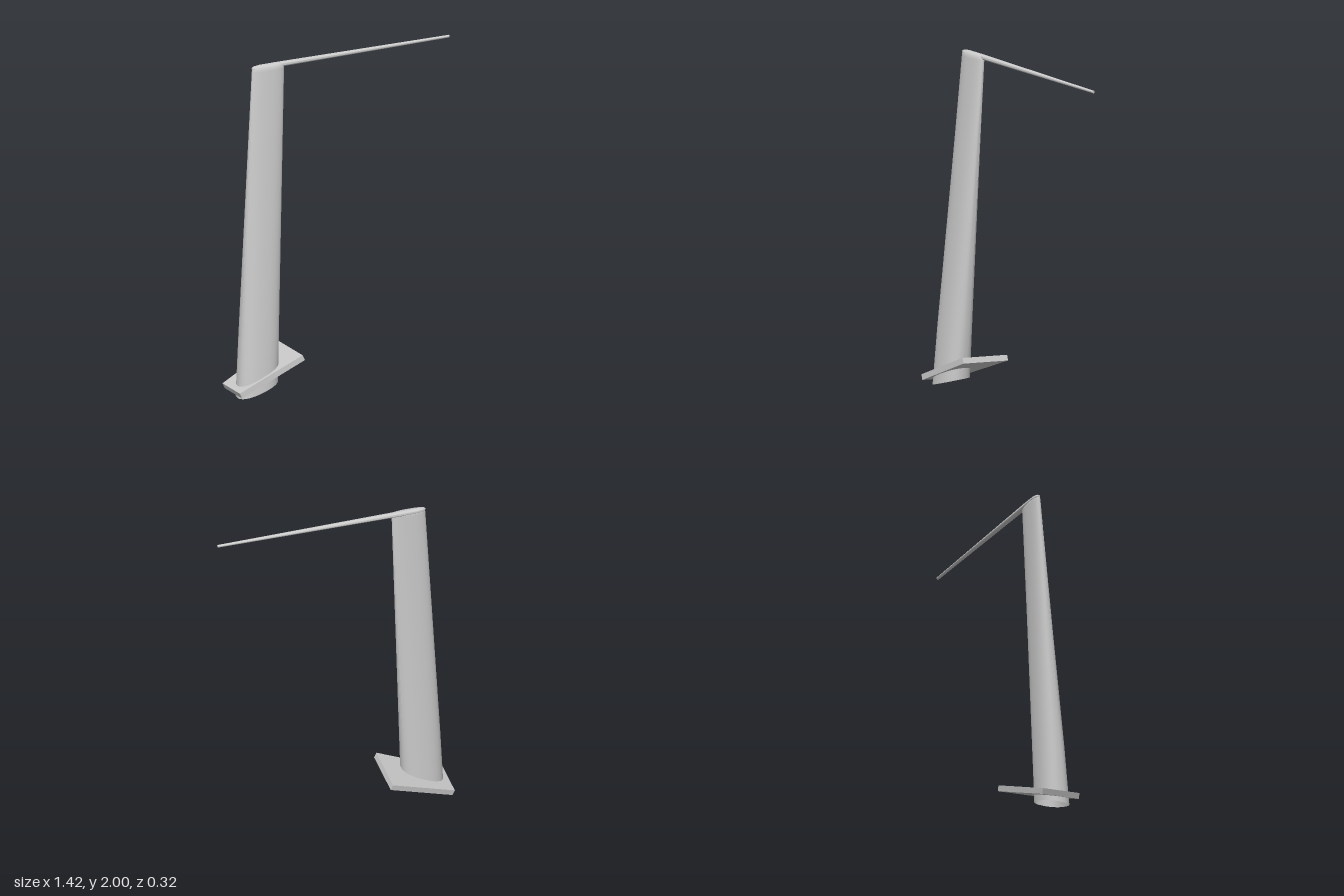
import * as THREE from 'three';
import { toCreasedNormals } from 'three/addons/utils/BufferGeometryUtils.js';

const SIDES = 32;

// Skin a surface over closed rings; point(ring, cos, sin) gives each vertex.
function loft(rings, point) {
  const pos = [], index = [];
  rings.forEach((ring, r) => {
    for (let i = 0; i < SIDES; i++) {
      const a = (i / SIDES) * Math.PI * 2;
      pos.push(...point(ring, Math.cos(a), Math.sin(a)));
      if (r === rings.length - 1) continue;
      const p = r * SIDES + i, q = r * SIDES + ((i + 1) % SIDES);
      index.push(p, p + SIDES, q, q, p + SIDES, q + SIDES);
    }
  });
  const geo = new THREE.BufferGeometry();
  geo.setAttribute('position', new THREE.Float32BufferAttribute(pos, 3));
  geo.setIndex(index);
  return toCreasedNormals(geo, 0.7);
}

const squarish = (v) => Math.sign(v) * Math.abs(v) ** 0.85;

export function createModel() {
  const group = new THREE.Group();
  const material = new THREE.MeshStandardMaterial({ color: 0xcccccc, side: THREE.DoubleSide });
  const add = (name, geo) => {
    const mesh = new THREE.Mesh(geo, material);
    mesh.name = name;
    group.add(mesh);
  };

  // Leaning, tapered mast: open slanted foot, rounded top
  // Each ring: centre x, y, z, half length, half thickness, slant
  const mastRings = [
    [-0.555, 0.04, 0.057, 0.125, 0.088, 0.32],
    [-0.537, 0.38, 0.044, 0.121, 0.077, 0],
    [-0.448, 1.965, -0.021, 0.102, 0.023, 0],
    [-0.448, 1.985, -0.022, 0.099, 0.022, 0],
    [-0.449, 1.995, -0.023, 0.09, 0.015, 0],
    [-0.449, 1.998, -0.024, 0.07, 0.007, 0],
    [-0.449, 1.998, -0.024, 0, 0, 0],
  ];
  add('mast', loft(mastRings, ([x, y, z, a, b, slant], c, s) => {
    const dx = a * squarish(c);
    return [x + dx, y + slant * dx, z + b * squarish(s)];
  }));

  // Slender boom with a rounded root, tapering to a blunt tip
  // Each ring: x, centre y, centre z, half height, half width
  const boomRings = [
    [-0.55, 1.985, -0.022, 0, 0],
    [-0.548, 1.985, -0.022, 0.006, 0.007],
    [-0.535, 1.985, -0.024, 0.012, 0.014],
    [-0.5, 1.985, -0.027, 0.015, 0.018],
    [-0.4, 1.984, -0.029, 0.0155, 0.018],
    [0.71, 1.978, -0.031, 0.008, 0.008],
    [0.71, 1.978, -0.031, 0, 0],
  ];
  add('boom', loft(boomRings, ([x, y, z, h, w], c, s) => [x, y + h * c, z - w * s]));

  // Tilted mounting plate with one skewed edge
  const outline = new THREE.Shape([
    new THREE.Vector2(-0.71, -0.08),
    new THREE.Vector2(-0.31, -0.163),
    new THREE.Vector2(-0.31, 0.157),
    new THREE.Vector2(-0.71, 0.157),
  ]);
  const plate = new THREE.ExtrudeGeometry(outline, { depth: 0.034, bevelEnabled: false });
  const normal = new THREE.Vector3(-0.43, 1, -0.08).normalize();
  const p = plate.attributes.position, v = new THREE.Vector3();
  for (let i = 0; i < p.count; i++) {
    const x = p.getX(i), z = p.getY(i), depth = p.getZ(i);
    v.set(x, 0.065 + 0.43 * (x + 0.71) + 0.08 * (z - 0.16), z).addScaledVector(normal, -depth);
    p.setXYZ(i, v.x, v.y, v.z);
  }
  plate.computeVertexNormals();
  add('mountingPlate', plate);

  return group;
}
